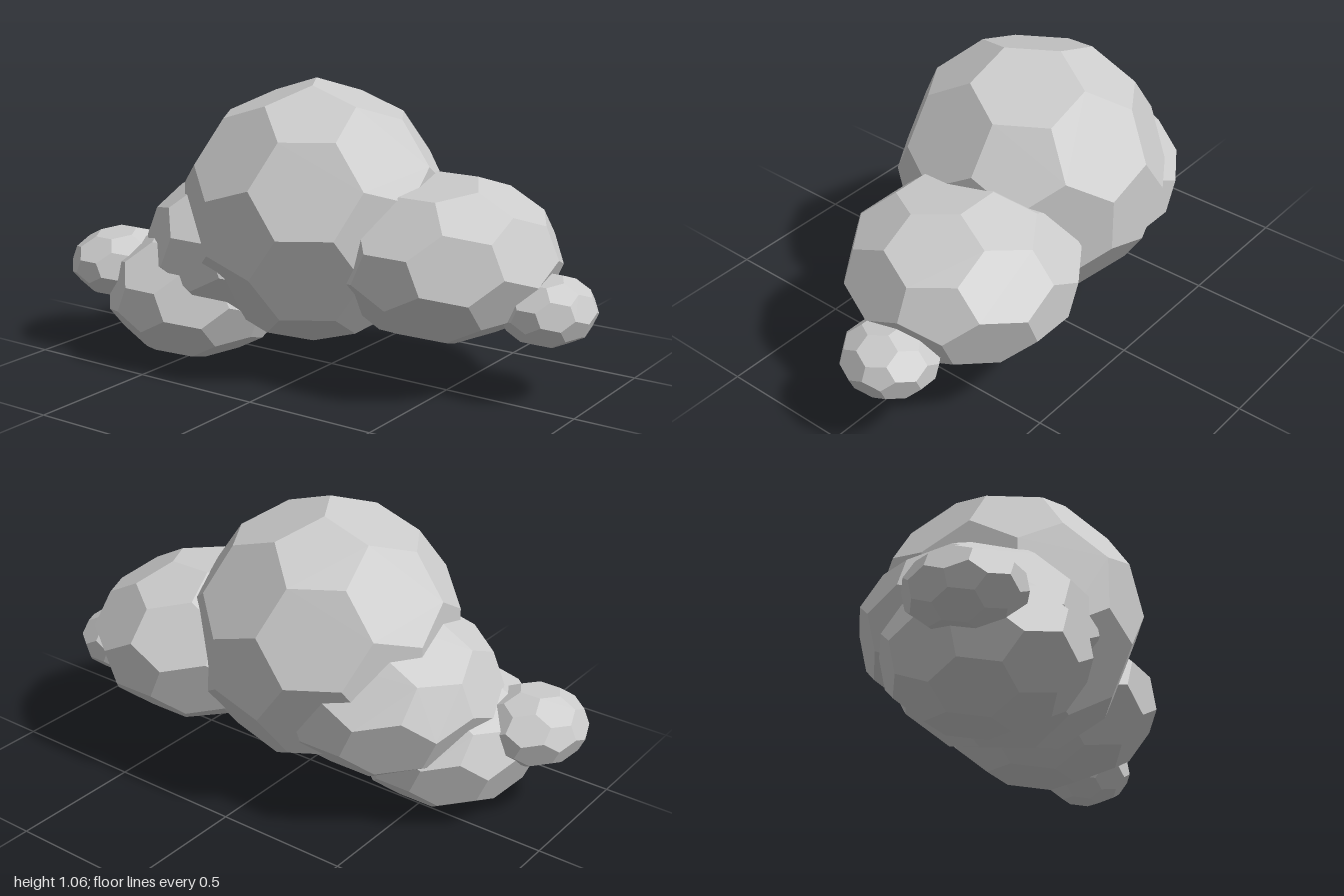
import * as THREE from 'three';
import { ConvexGeometry } from 'three/addons/geometries/ConvexGeometry.js';

// Corners of a truncated icosahedron with pentagons facing +z and -z
function puffPoints() {
  const ico = [new THREE.Vector3(0, 0, 1), new THREE.Vector3(0, 0, -1)];
  const z = 1 / Math.sqrt(5), r = 2 / Math.sqrt(5);
  for (let k = 0; k < 5; k++) {
    for (const [deg, side] of [[90, -1], [54, 1]]) {
      const a = THREE.MathUtils.degToRad(deg + 72 * k);
      ico.push(new THREE.Vector3(r * Math.cos(a), r * Math.sin(a), side * z));
    }
  }
  const points = [];
  for (const a of ico) {
    for (const b of ico) {
      if (a !== b && a.dot(b) > 0.4) points.push(a.clone().lerp(b, 1 / 3));
    }
  }
  return points;
}

export function createModel() {
  const group = new THREE.Group();
  group.name = 'cloud';
  const material = new THREE.MeshStandardMaterial({ color: 0xcccccc, flatShading: true });
  const points = puffPoints();

  // One faceted puff: centre, half extents and turn about z in degrees
  function addPuff(name, centre, half, turn = 0) {
    const geometry = new ConvexGeometry(points);
    geometry.rotateZ(THREE.MathUtils.degToRad(turn));
    geometry.computeBoundingBox();
    const max = geometry.boundingBox.max;
    geometry.scale(half[0] / max.x, half[1] / max.y, half[2] / max.z);
    geometry.computeVertexNormals();
    const mesh = new THREE.Mesh(geometry, material);
    mesh.name = name;
    mesh.position.set(...centre);
    group.add(mesh);
  }

  // Large round middle, flattened puffs to either side
  addPuff('mainPuff', [-0.075, 0.585, 0], [0.47, 0.475, 0.468], 18);
  addPuff('leftPuff', [0.43, 0.46, -0.095], [0.41, 0.29, 0.403]);
  addPuff('leftTipPuff', [0.83, 0.325, -0.12], [0.17, 0.123, 0.168]);
  addPuff('rightPuff', [-0.33, 0.43, 0.02], [0.41, 0.29, 0.4]);
  addPuff('lowerRightPuff', [-0.51, 0.245, 0.15], [0.335, 0.245, 0.34]);
  addPuff('rightTipPuff', [-0.81, 0.33, 0.245], [0.19, 0.13, 0.195]);

  return group;
}
